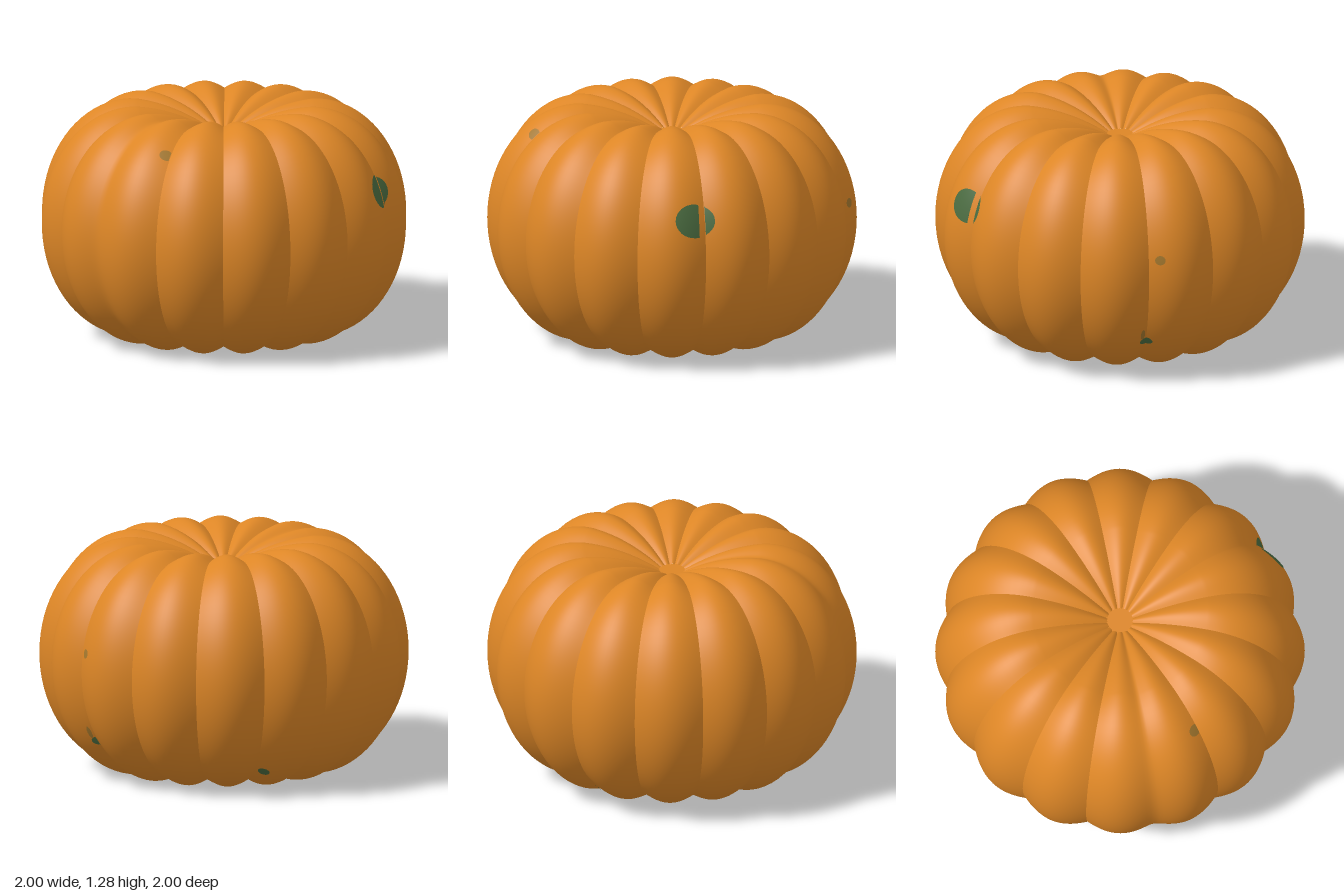
import * as THREE from 'three';

const LOBES = 16, STEP = 360 / LOBES, MID = 0.6425;
const TOP_R = 0.07, BOTTOM_R = 0.11, DIP = 0.115;
const SOFT = 135; // the one groove that is rounded instead of sharp

// Height of the scallop at an angle in degrees: 0 in a groove, 1 on a lobe's ridge
function rib(deg) {
  const a = THREE.MathUtils.degToRad(deg) * LOBES / 2;
  const soft = Math.abs(deg - SOFT) < STEP / 2 ? 0.06 : 0;
  return Math.sqrt(Math.sin(a) ** 2 + soft * Math.cos(a) ** 2);
}

// Skin point: |u| <= 1 is the outer ellipse, 1 < |u| <= 2 runs into the hollow at either end
function skin(deg, u, lift = 0) {
  const s = Math.sign(u), phi = THREE.MathUtils.clamp(u, -1, 1) * Math.PI / 2;
  const t = Math.max(0, Math.abs(u) - 1);
  const bump = rib(deg) * (1 - 0.8 * t);
  let r = 0.5 + (0.463 + 0.05 * bump + lift) * Math.cos(phi);
  if (t > 0) r = 0.5 - t * (0.5 - (s > 0 ? TOP_R : BOTTOM_R));
  const y = MID + (0.6025 + 0.04 * bump + lift) * Math.sin(phi) - s * DIP * t * t;
  const a = THREE.MathUtils.degToRad(deg);
  return [r * Math.cos(a), y, r * Math.sin(a)];
}

// Surface from a function of two parameters in 0..1
function grid(fn, m, n) {
  const pos = [], index = [];
  for (let i = 0; i <= m; i++) {
    for (let j = 0; j <= n; j++) {
      pos.push(...fn(i / m, j / n));
      if (i < m && j < n) {
        const a = i * (n + 1) + j, b = a + n + 1;
        index.push(a, a + 1, b, b, a + 1, b + 1);
      }
    }
  }
  const g = new THREE.BufferGeometry();
  g.setAttribute('position', new THREE.Float32BufferAttribute(pos, 3));
  g.setIndex(index);
  g.computeVertexNormals();
  return g;
}

export function createModel() {
  const model = new THREE.Group();
  model.name = 'pumpkin';
  const material = (name, color) => {
    const m = new THREE.MeshStandardMaterial({ color });
    m.name = name;
    return m;
  };
  const orange = material('orange skin', 0xdd8626);
  const green = material('green blemish', 0x4a6b40);
  const tan = material('tan blemish', 0xa4782e);
  const add = (name, geometry, mat) => {
    const mesh = new THREE.Mesh(geometry, mat);
    mesh.name = name;
    model.add(mesh);
    return mesh;
  };

  // Lobes, separate so the grooves stay sharp; two share the soft groove
  for (let k = 0; k < LOBES; k++) {
    const start = k * STEP;
    if (start === SOFT) continue;
    const span = start + STEP === SOFT ? 2 : 1;
    add('lobe', grid((s, t) => skin(start + s * span * STEP, -2 + 4 * t), 16 * span, 80), orange);
  }

  // Flat scars closing the hollows
  const topScar = add('topScar', new THREE.CircleGeometry(TOP_R + 0.008, 32), orange);
  topScar.rotation.x = -Math.PI / 2;
  topScar.position.y = MID + 0.6025 - DIP + 0.004;
  const bottomScar = add('bottomScar', new THREE.CircleGeometry(BOTTOM_R + 0.008, 32), orange);
  bottomScar.rotation.x = Math.PI / 2;
  bottomScar.position.y = MID - 0.6025 + DIP - 0.004;

  // Blemishes laid on the skin: angle, latitude, their radii (degrees), optional angle limits
  const spots = [
    [green, 25.9, 23, 6.6, 8.8, 24.6, 90],
    [green, 25.9, 23, 6.6, 8.8, 0, 22.4],
    [tan, 114, 56, 2.7, 3.6, 112.6, 180],
    [tan, -48.5, 11, 1.6, 2.4],
    [green, -45, -40.5, 2.3, 2.8],
    [tan, -43.6, -34.5, 0.8, 4],
    [green, -115.5, -56, 2.3, 3.2],
  ];
  for (const [mat, deg, lat, rx, ry, lo = -180, hi = 180] of spots) {
    add('blemish', grid((s, t) => {
      const a = t * Math.PI * 2;
      const d = THREE.MathUtils.clamp(deg + rx * s * Math.cos(a), lo, hi);
      return skin(d, (lat + ry * s * Math.sin(a)) / 90, 0.004);
    }, 10, 32), mat);
  }
  return model;
}
